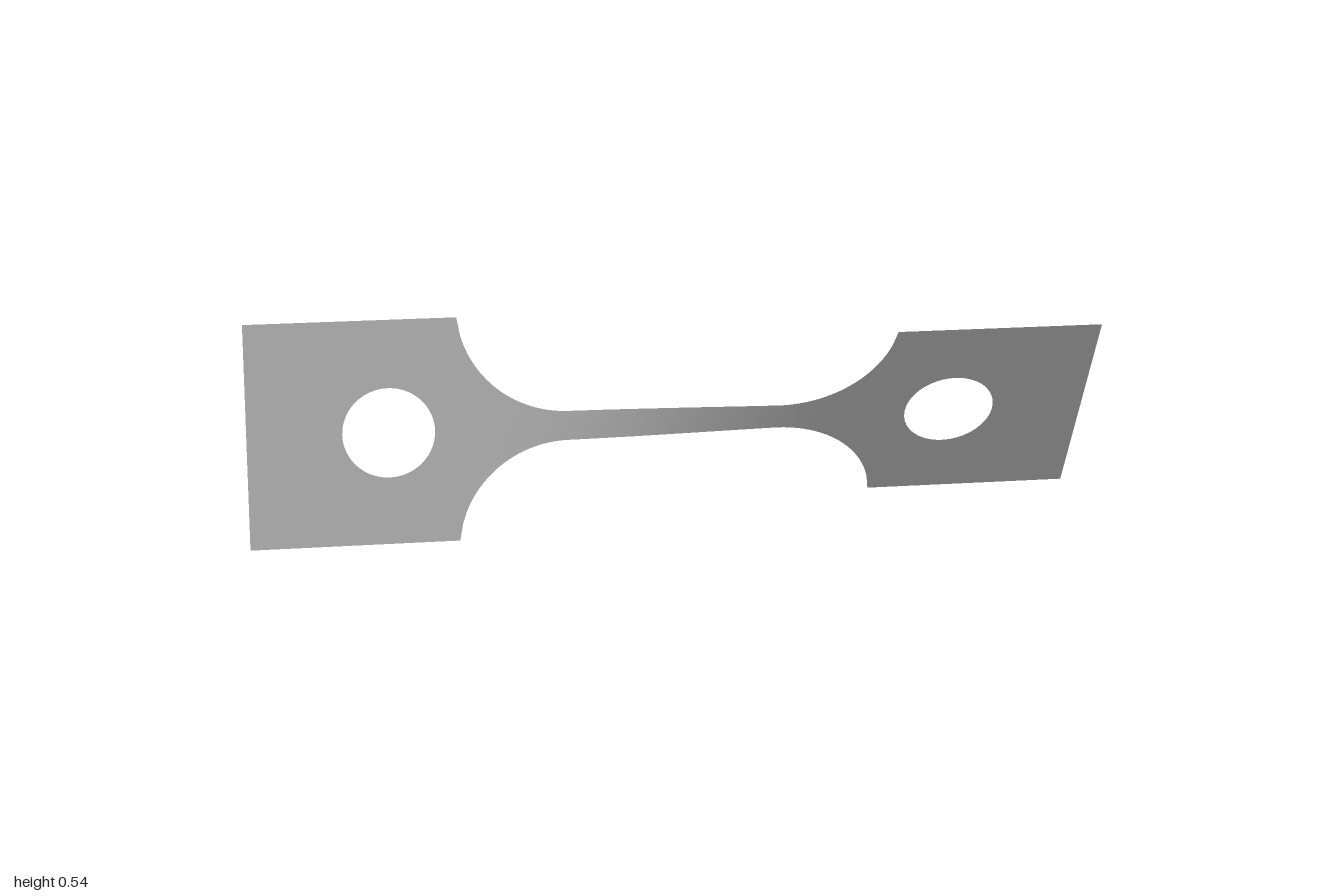
import * as THREE from 'three';

const MID = 0.272;          // height of the long axis
const HALF = 0.271;         // half height of the end plates
const NECK = 0.036;         // half height of the neck
const FILLET = 0.26;        // radius of the shoulders
const FILLET_X = 0.25;      // where the shoulders begin
const PLATE_X = FILLET_X + Math.sqrt(FILLET ** 2 - (FILLET + NECK - HALF) ** 2);
const LEAN_START = 0.01, LEAN_END = 0.56;

// twist angle about the long axis at x
const lean = (x) => LEAN_START + (LEAN_END - LEAN_START) * THREE.MathUtils.smoothstep(x, -0.42, 0.42);

// half height of the strip between the plates
function halfHeight(x) {
  const d = Math.max(0, Math.abs(x) - FILLET_X);
  return NECK + FILLET - Math.sqrt(FILLET ** 2 - d ** 2);
}

// twisted neck with its curved shoulders, made of upright cross-sections
function neckGeometry(columns = 120, rows = 8) {
  const positions = [], index = [];
  for (let i = 0; i <= columns; i++) {
    const x = -PLATE_X + (2 * PLATE_X * i) / columns;
    const h = halfHeight(x), a = lean(x);
    for (let j = 0; j <= rows; j++) {
      const v = h * ((2 * j) / rows - 1);
      positions.push(x, v * Math.cos(a), v * Math.sin(a));
      if (i < columns && j < rows) {
        const p = i * (rows + 1) + j, q = p + rows + 1;
        index.push(p, q, q + 1, p, q + 1, p + 1);
      }
    }
  }
  const geometry = new THREE.BufferGeometry();
  geometry.setAttribute('position', new THREE.Float32BufferAttribute(positions, 3));
  geometry.setIndex(index);
  geometry.computeVertexNormals();
  return geometry;
}

// flat end plate with a round hole
function plateGeometry(side) {
  const [x0, x1] = side > 0 ? [PLATE_X, 1] : [-1, -PLATE_X];
  const shape = new THREE.Shape();
  shape.moveTo(x0, -HALF).lineTo(x1, -HALF).lineTo(x1, HALF).lineTo(x0, HALF).closePath();
  shape.holes.push(new THREE.Path().absarc(side * 0.671, 0, 0.108, 0, Math.PI * 2, true));
  return new THREE.ShapeGeometry(shape, 32);
}

export function createModel() {
  const model = new THREE.Group();
  model.name = 'twistedSpecimen';
  const metal = new THREE.MeshStandardMaterial({ color: 0xb4b4b4, side: THREE.DoubleSide });
  metal.name = 'greyMetal';

  const add = (name, geometry, angle = 0) => {
    const mesh = new THREE.Mesh(geometry, metal);
    mesh.name = name;
    mesh.position.y = MID;
    mesh.rotation.x = angle;
    model.add(mesh);
  };

  add('neck', neckGeometry());
  add('rightPlate', plateGeometry(-1), lean(-1));
  add('leftPlate', plateGeometry(1), lean(1));
  return model;
}
